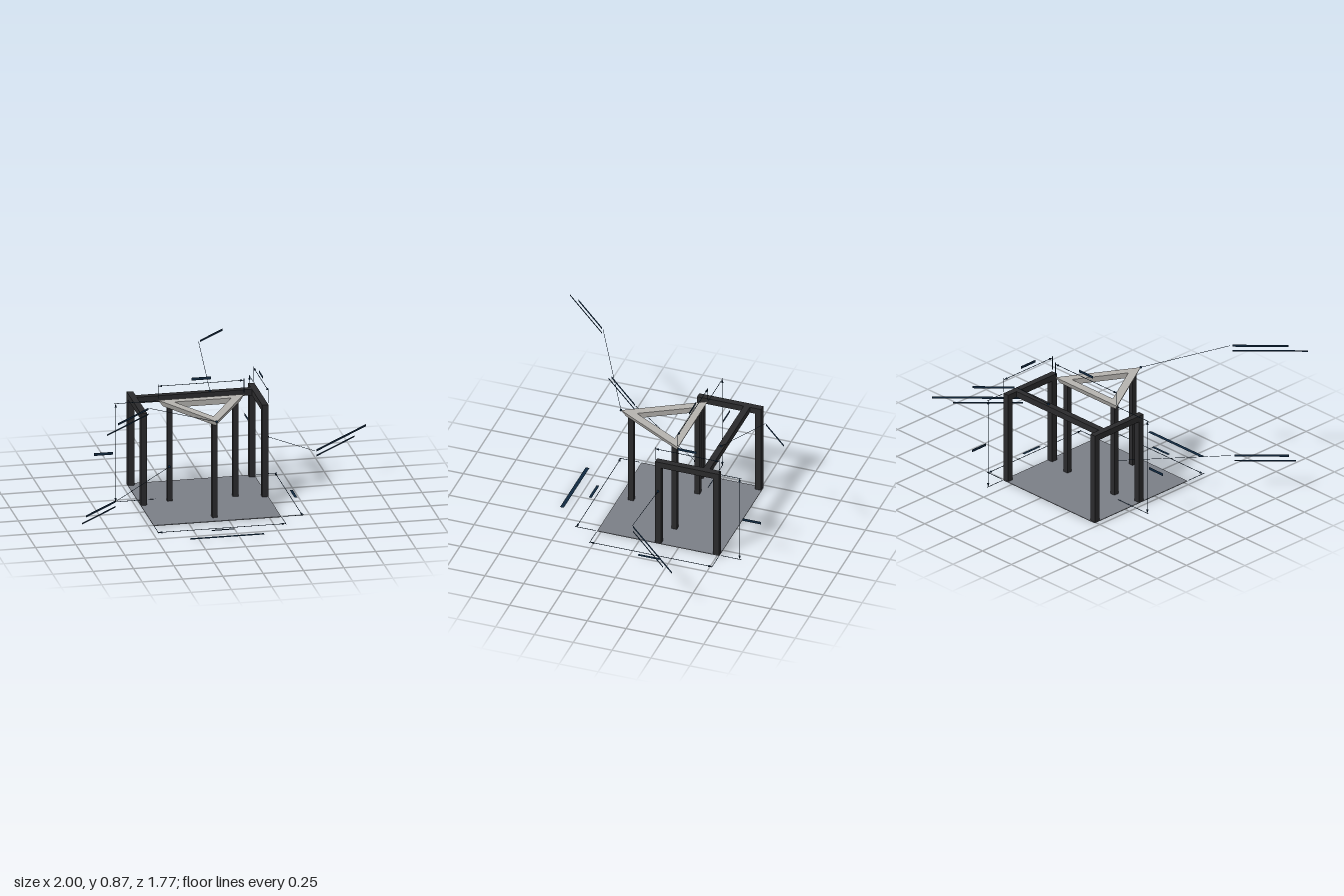
import * as THREE from 'three';

const mat = (color, extra = {}) => new THREE.MeshStandardMaterial({ color, ...extra });
const FLOOR = 0.012;            // floor surface height
const CX = -0.075;              // booth centre line
const V = (x, y, z) => new THREE.Vector3(x, y, z);

export function createModel() {
  const root = new THREE.Group();
  const dark = mat(0x2a2a2c);
  const navy = mat(0x10283f);
  const flat = mat(0x10283f, { side: THREE.DoubleSide });

  const group = (name) => {
    const g = new THREE.Group();
    g.name = name;
    root.add(g);
    return g;
  };
  const add = (parent, name, geo, material, pos) => {
    const m = new THREE.Mesh(geo, material);
    m.name = name;
    m.position.copy(pos);
    parent.add(m);
    return m;
  };
  // box given by its min and max corners
  const box = (parent, name, a, b, material) =>
    add(parent, name, new THREE.BoxGeometry(b.x - a.x, b.y - a.y, b.z - a.z), material,
      a.clone().add(b).multiplyScalar(0.5));
  // thin rod or cone between two points
  const rod = (parent, name, a, b, r0 = 0.0018, r1 = r0) => {
    const d = b.clone().sub(a);
    const m = add(parent, name, new THREE.CylinderGeometry(r1, r0, d.length(), 8), navy,
      a.clone().add(b).multiplyScalar(0.5));
    m.quaternion.setFromUnitVectors(V(0, 1, 0), d.normalize());
  };
  // blank flat strip marking a caption position
  const strip = (parent, pos, length, height, rot = [0, 0, 0]) => {
    const m = add(parent, 'captionStrip', new THREE.PlaneGeometry(length, height), flat, pos);
    m.rotation.set(...rot);
  };

  // Floor
  box(root, 'floor', V(-0.47, 0.008, -0.515), V(0.32, FLOOR, 0.272), mat(0x7a7e86));

  // Two side frames: two posts and a top rail each
  const T = 0.039, TOP = 0.602, BACK = -0.513, FRONT = -0.1;
  for (const [name, x] of [['rightSideFrame', -0.47], ['leftSideFrame', 0.32 - T]]) {
    const g = group(name);
    for (const [post, z] of [['backPost', BACK], ['frontPost', FRONT - T]])
      box(g, post, V(x, FLOOR, z), V(x + T, TOP - T, z + T), dark);
    box(g, 'topRail', V(x, TOP - T, BACK), V(x + T, TOP, FRONT), dark);
  }

  // Header beam between the frames
  box(root, 'headerBeam', V(-0.47 + T, TOP - T, -0.44), V(0.32 - T, TOP, -0.4), dark);

  // Triangular canopy ring with outer walls that taper inward at the bottom
  const ring = [[0.204, 0.645], [0.204, 0.61], [0.277, 0.61], [0.308, 0.645], [0.204, 0.645]]
    .map(([r, y]) => new THREE.Vector2(r, y));
  add(root, 'triangleCanopy', new THREE.LatheGeometry(ring, 3),
    mat(0xb4b2ae, { flatShading: true }), V(CX - 0.001, 0, -0.046));

  // Canopy posts
  const posts = group('canopyPosts');
  const h = 0.0165;
  for (const [x, z] of [[-0.28, -0.16], [0.126, -0.16], [-0.077, 0.193]])
    box(posts, 'canopyPost', V(x - h, FLOOR, z - h), V(x + h, 0.612, z + h), dark);

  // Dimension line: arrows at both ends, witness lines from the measured part
  const dimension = (name, a, b, offset, caption, length, rot) => {
    const g = group(name);
    const dir = b.clone().sub(a).normalize();
    const out = offset.clone().normalize();
    const p = a.clone().add(offset), q = b.clone().add(offset);
    rod(g, 'dimensionLine', p, q);
    rod(g, 'arrow', p.clone().addScaledVector(dir, 0.024), p, 0.007, 0);
    rod(g, 'arrow', q.clone().addScaledVector(dir, -0.024), q, 0.007, 0);
    for (const [s, e] of [[a, p], [b, q]])
      rod(g, 'witnessLine', s.clone().addScaledVector(out, 0.012), e.clone().addScaledVector(out, 0.01));
    strip(g, caption, length, 0.018, rot);
  };
  const H = Math.PI / 2;
  dimension('floorWidthDimension', V(-0.47, FLOOR, 0.272), V(0.32, FLOOR, 0.272), V(0, 0, 0.133),
    V(CX, FLOOR, 0.435), 0.14, [-H, 0, 0]);
  dimension('floorDepthDimension', V(0.32, FLOOR, -0.515), V(0.32, FLOOR, 0.272), V(0.13, 0, 0),
    V(0.48, FLOOR, -0.12), 0.14, [-H, 0, H]);
  dimension('canopyWidthDimension', V(-0.342, 0.645, -0.2), V(0.19, 0.645, -0.2), V(0, 0.09, 0),
    V(CX, 0.765, -0.2), 0.12, [0, 0, 0]);
  dimension('canopyHeightDimension', V(-0.342, FLOOR, -0.2), V(-0.342, 0.642, -0.2), V(-0.263, 0, 0),
    V(-0.68, 0.325, -0.2), 0.12, [0, 0, 0]);
  dimension('frameDepthDimension', V(0.318, TOP, FRONT), V(0.318, TOP, BACK), V(0, 0.093, 0),
    V(0.318, 0.725, -0.306), 0.12, [0, H, 0]);
  dimension('frameHeightDimension', V(0.318, FLOOR, BACK), V(0.318, TOP, BACK), V(0, 0, -0.132),
    V(0.318, 0.307, -0.722), 0.12, [0, H, 0]);

  // Strip marking the front edge of the floor
  strip(group('frontMarker'), V(-0.077, FLOOR, 0.56), 0.46, 0.024, [-H, 0, 0]);

  // Leader lines: dot, line, and caption strips set diagonally
  const leader = (name, a, b, side, spans) => {
    const g = group(name);
    add(g, 'dot', new THREE.SphereGeometry(0.008, 12, 8), navy, a);
    rod(g, 'leaderLine', a, b, 0.0014);
    spans.forEach((span, i) => {
      const mid = 0.01 + span / 2;
      strip(g, b.clone().add(V(side * mid, -0.034 * i, -side * mid)),
        span * Math.SQRT2, i ? 0.01 : 0.014, [0, Math.PI / 4, 0]);
    });
  };
  leader('canopyLeader', V(-0.077, 0.645, 0.262), V(-0.555, 0.865, 0.55), -1, [0.24, 0.325]);
  leader('postLeader', V(-0.285, 0.233, -0.142), V(-0.725, 0.233, 0.4), -1, [0.235, 0.265]);
  leader('frameLeader', V(0.32, 0.39, -0.12), V(0.6, 0.3, -0.055), 1, [0.39, 0.3]);
  leader('headerLeader', V(0.026, TOP, -0.42), V(0.015, 0.823, -0.7), 1, [0.18]);

  return root;
}
